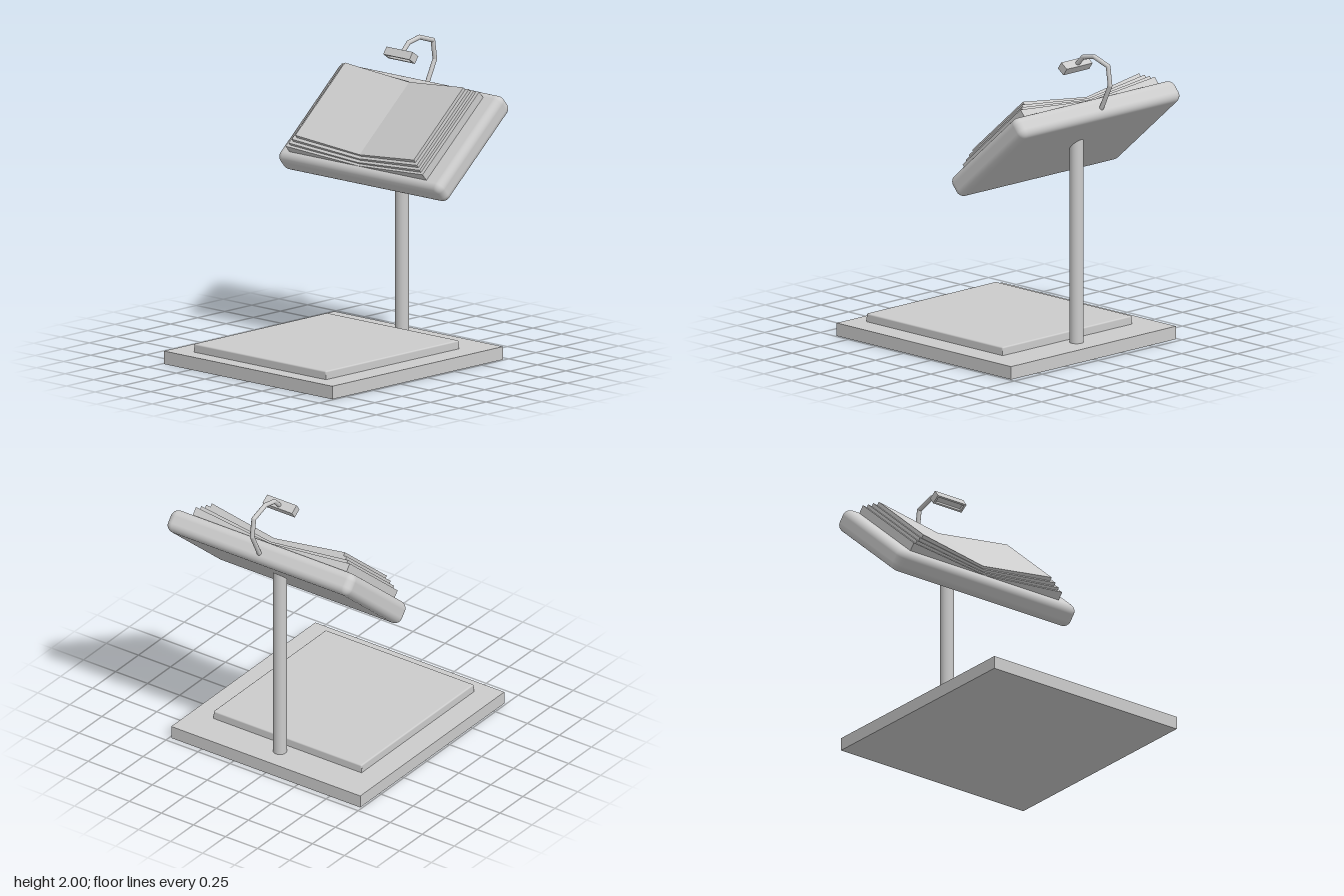
import * as THREE from 'three';
import { RoundedBoxGeometry } from 'three/addons/geometries/RoundedBoxGeometry.js';

const material = new THREE.MeshStandardMaterial({ color: 0xcccccc });

function add(parent, name, geometry, x = 0, y = 0, z = 0) {
  const mesh = new THREE.Mesh(geometry, material);
  mesh.name = name;
  mesh.position.set(x, y, z);
  parent.add(mesh);
  return mesh;
}

// Solid stack of pages: flat underneath, open V on top
function pageStack(halfWidth, bottom, middle, outer, back, front) {
  const shape = new THREE.Shape([
    [-halfWidth, bottom], [halfWidth, bottom], [halfWidth, outer], [0, middle], [-halfWidth, outer],
  ].map(([x, y]) => new THREE.Vector2(x, y)));
  return new THREE.ExtrudeGeometry(shape, { depth: front - back, bevelEnabled: false }).translate(0, 0, back);
}

export function createModel() {
  const model = new THREE.Group();
  model.name = 'bookStand';

  // Base, raised step and post
  add(model, 'base', new THREE.BoxGeometry(1.475, 0.085, 1.575), 0, 0.0425, 0.078);
  add(model, 'step', new THREE.BoxGeometry(1.157, 0.03, 1.23), 0, 0.1, 0.142);
  add(model, 'stepTop', new RoundedBoxGeometry(1.157, 0.055, 1.23, 2, 0.01), 0, 0.1125, 0.142);
  add(model, 'post', new THREE.CylinderGeometry(0.044, 0.044, 1.37, 24), 0, 0.765, -0.555);

  // Sloping desk with the open book
  const desk = new THREE.Group();
  desk.name = 'desk';
  desk.position.set(0, 1.405, -0.468);
  desk.rotation.x = THREE.MathUtils.degToRad(41);
  model.add(desk);
  add(desk, 'board', new RoundedBoxGeometry(1.43, 0.149, 0.806, 5, 0.05), 0.01);

  const book = new THREE.Group();
  book.name = 'book';
  book.position.x = -0.01;
  desk.add(book);
  // half width, middle height, outer height, back, front
  [
    [0.6, 0.076, 0.13, -0.348, 0.345],
    [0.573, 0.088, 0.148, -0.338, 0.328],
    [0.548, 0.103, 0.168, -0.328, 0.308],
    [0.519, 0.118, 0.189, -0.32, 0.287],
  ].forEach(([w, middle, outer, back, front], i) =>
    add(book, `pages${i + 1}`, pageStack(w, 0.06, middle, outer, back, front)));

  // Bent lamp arm of straight pieces
  const points = [[1.62, -0.755], [1.67, -0.785], [1.82, -0.858], [1.945, -0.84],
    [1.985, -0.715], [1.965, -0.615], [1.905, -0.556]].map(([y, z]) => new THREE.Vector3(0, y, z));
  const arm = new THREE.Group();
  arm.name = 'lampArm';
  model.add(arm);
  points.forEach((p, i) => {
    add(arm, 'armJoint', new THREE.SphereGeometry(0.015, 12, 8), p.x, p.y, p.z);
    if (i === 0) return;
    const path = new THREE.LineCurve3(points[i - 1], p);
    add(arm, 'armPiece', new THREE.TubeGeometry(path, 1, 0.015, 12));
  });

  // Lamp head, hollow on its lower face
  const head = new THREE.Group();
  head.name = 'lampHead';
  head.position.set(0, 1.895, -0.543);
  head.rotation.x = THREE.MathUtils.degToRad(-35);
  model.add(head);
  const rectangle = (Type, w, h) => new Type([
    new THREE.Vector2(-w, -h), new THREE.Vector2(w, -h), new THREE.Vector2(w, h), new THREE.Vector2(-w, h),
  ]);
  const rim = rectangle(THREE.Shape, 0.115, 0.031);
  rim.holes.push(rectangle(THREE.Path, 0.102, 0.02));
  const rimGeometry = new THREE.ExtrudeGeometry(rim, { depth: 0.02, bevelEnabled: false });
  rimGeometry.rotateX(Math.PI / 2);
  add(head, 'lampRim', rimGeometry, 0, -0.007, 0);
  add(head, 'lampCover', new THREE.BoxGeometry(0.23, 0.034, 0.062), 0, 0.01, 0);

  return model;
}
